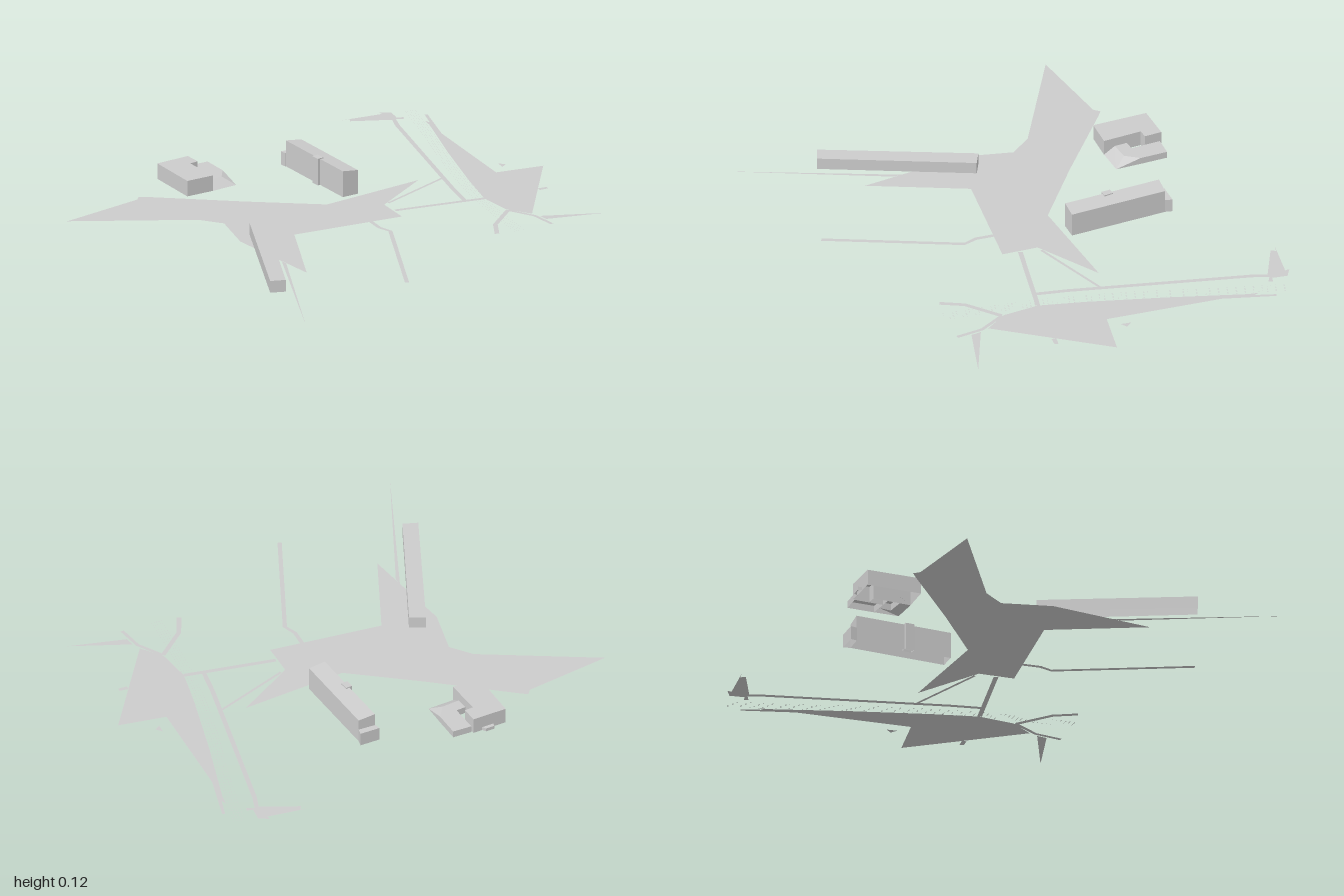
import * as THREE from 'three';

const concrete = new THREE.MeshStandardMaterial({ color: 0xcccccc, side: THREE.DoubleSide });
concrete.name = 'pale grey';

// Outline points are [x, z], returned counter-clockwise as seen from above.
function outline(points) {
  const pts = points.map(([x, z]) => new THREE.Vector2(x, -z));
  if (THREE.ShapeUtils.isClockWise(pts)) pts.reverse();
  return pts;
}

function addMesh(parent, name, positions) {
  const geo = new THREE.BufferGeometry();
  geo.setAttribute('position', new THREE.Float32BufferAttribute(positions, 3));
  geo.computeVertexNormals();
  const mesh = new THREE.Mesh(geo, concrete);
  mesh.name = name;
  parent.add(mesh);
}

// Flat sheet (no height) or open-bottomed building; height may vary with x, z.
function addPlan(parent, name, points, height = null) {
  const pts = outline(points);
  const top = (p) => [p.x, height === null ? 0 : typeof height === 'function' ? height(p.x, -p.y) : height, -p.y];
  const base = (p) => [p.x, 0, -p.y];
  const pos = [];
  for (const f of THREE.ShapeUtils.triangulateShape(pts, [])) for (const i of f) pos.push(...top(pts[i]));
  if (height !== null) {
    pts.forEach((a, i) => {
      const b = pts[(i + 1) % pts.length];
      pos.push(...base(a), ...base(b), ...top(b), ...base(a), ...top(b), ...top(a));
    });
  }
  addMesh(parent, name, pos);
}

// Flat strip of constant width along a path.
function addRoad(parent, name, path, width) {
  const left = [], right = [];
  path.forEach(([x, z], i) => {
    const a = path[Math.max(i - 1, 0)], b = path[Math.min(i + 1, path.length - 1)];
    const dx = b[0] - a[0], dz = b[1] - a[1], k = width / 2 / Math.hypot(dx, dz);
    left.push([x - dz * k, z + dx * k]);
    right.unshift([x + dz * k, z - dx * k]);
  });
  addPlan(parent, name, [...left, ...right]);
}

export function createModel() {
  const model = new THREE.Group();
  model.name = 'sitePlan';

  // Paved areas
  addPlan(model, 'mainPlaza', [[-0.15, -0.48], [-0.01, -0.19], [0.145, -0.165], [0.035, 0.325], [0.42, 0.555],
    [-0.04, 0.555], [-0.25, 0.48], [-0.35, 0.54], [-0.675, 0.99], [-0.695, 0.6], [-0.717, 0.575],
    [-0.695, 0.55], [-0.4, 0.255], [-0.16, 0]]);
  addPlan(model, 'northPlaza', [[-0.735, -0.98], [-0.52, -0.89], [-0.02, -0.795], [0.04, -1], [0.455, -0.62],
    [0.35, -0.565], [0.19, -0.57], [0, -0.64], [-0.315, -0.77], [-0.63, -0.91], [-0.68, -0.925], [-0.655, -0.93], [-0.74, -0.968]]);
  addPlan(model, 'eastTriangle', [[0.635, -0.87], [0.54, -0.63], [0.495, -0.63]]);
  addPlan(model, 'westWedge', [[-0.845, -0.87], [-0.785, -0.855], [-0.77, -0.83], [-0.87, -0.67], [-0.888, -0.685],
    [-0.9, -0.65], [-0.855, -0.83], [-0.875, -0.83]]);
  addPlan(model, 'smallTriangle', [[-0.1, -0.865], [-0.07, -0.885], [-0.055, -0.855]]);
  addPlan(model, 'smallPatch', [[0.245, -0.86], [0.262, -0.855], [0.255, -0.815], [0.235, -0.82]]);
  addPlan(model, 'southSpike', [[0.245, 0.555], [0.28, 0.557], [0.89, 0.925]]);

  // Roads and footpaths
  addRoad(model, 'northRoad', [[-0.762, -0.875], [-0.782, -0.835], [-0.71, -0.8], [-0.395, -0.685], [0.03, -0.53], [0.165, -0.488]], 0.02);
  addRoad(model, 'bridgePath', [[0.19, -0.57], [0.07, -0.185]], 0.02);
  addRoad(model, 'narrowPath', [[-0.105, -0.57], [-0.015, -0.215]], 0.012);
  addRoad(model, 'eastPath', [[0.11, -0.025], [0.19, -0.01], [0.25, -0.022], [0.77, 0.29]], 0.018);
  addRoad(model, 'southEastBranch', [[0.36, -0.565], [0.46, -0.42], [0.55, -0.36]], 0.02);
  addRoad(model, 'northEastBranch', [[0.36, -0.565], [0.48, -0.615], [0.6, -0.615]], 0.016);

  // Dashed railway tracks
  const line = new THREE.CatmullRomCurve3([[-0.82, -0.95], [-0.5, -0.82], [-0.18, -0.68], [0.19, -0.55], [0.585, -0.455]]
    .map(([x, z]) => new THREE.Vector3(x, 0, z)));
  const tracks = [];
  const dashes = 80;
  for (let row = -2; row <= 2; row++) {
    for (let i = 0; i < dashes; i++) {
      const p = line.getPointAt((i + 0.5) / dashes), t = line.getTangentAt((i + 0.5) / dashes);
      const n = new THREE.Vector3(t.z, 0, -t.x);
      const at = (u, v) => p.clone().addScaledVector(t, u).addScaledVector(n, row * 0.011 + v).toArray();
      const a = at(-0.003, -0.0008), b = at(0.003, -0.0008), c = at(0.003, 0.0008), d = at(-0.003, 0.0008);
      tracks.push(...a, ...b, ...c, ...a, ...c, ...d);
    }
  }
  addMesh(model, 'railwayTracks', tracks);

  // Long low hall
  addPlan(model, 'longHall', [[-0.04, 0.415], [0.54, 0.76], [0.51, 0.82], [-0.08, 0.475]], 0.053);

  // Tall block with a slightly sloping roof, stair bay and annex
  const tall = new THREE.Group();
  tall.name = 'tallBlock';
  model.add(tall);
  addPlan(tall, 'tallHall', [[-0.61, -0.21], [-0.18, -0.18], [-0.187, -0.105], [-0.62, -0.135]],
    (x, z) => 0.117 + (z + 0.105 - 0.07 * (x + 0.187)) * 0.13);
  addPlan(tall, 'stairBay', [[-0.4, -0.135], [-0.36, -0.135], [-0.36, -0.105], [-0.4, -0.107]], 0.12);
  addPlan(tall, 'annex', [[-0.64, -0.22], [-0.61, -0.21], [-0.62, -0.132], [-0.648, -0.13]], 0.06);

  // Courtyard building
  const court = new THREE.Group();
  court.name = 'courtyardBuilding';
  model.add(court);
  addPlan(court, 'southWing', [[-0.825, 0.23], [-0.75, 0.235], [-0.75, 0.275], [-0.58, 0.285], [-0.595, 0.41], [-0.835, 0.385]], 0.07);
  addPlan(court, 'northWing', [[-0.805, 0.14], [-0.685, 0.152], [-0.685, 0.235], [-0.815, 0.225]], 0.03);
  addPlan(court, 'eastWing', [[-0.685, 0.2], [-0.63, 0.2], [-0.63, 0.283], [-0.685, 0.28]], 0.03);
  addPlan(court, 'porch', [[-0.845, 0.28], [-0.825, 0.27], [-0.83, 0.325], [-0.848, 0.32]], 0.015);
  // Ramps falling to the outer corner
  const inner = [-0.63, 0.03, 0.2], corner = [-0.575, 0, 0.165];
  addMesh(court, 'cornerRamps', [
    ...inner, ...[-0.63, 0.03, 0.283], ...corner,
    ...[-0.63, 0.03, 0.283], ...[-0.58, 0, 0.285], ...corner,
    ...[-0.685, 0.03, 0.152], ...inner, ...corner,
    ...[-0.685, 0.03, 0.152], ...[-0.685, 0.03, 0.2], ...inner,
    ...[-0.685, 0.03, 0.152], ...corner, ...[-0.685, 0, 0.152]]);

  return model;
}
